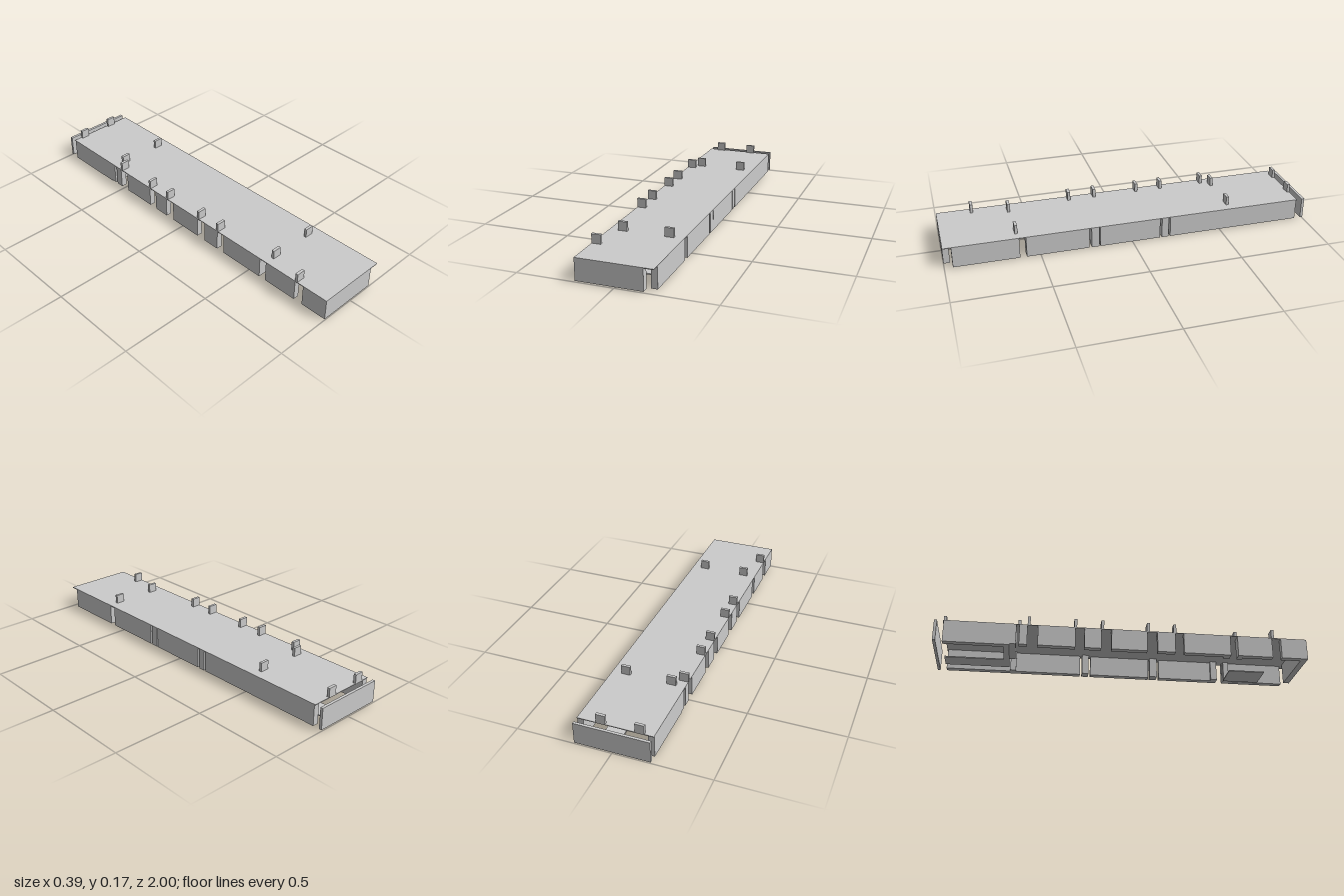
import * as THREE from 'three';

const material = new THREE.MeshStandardMaterial({ color: 0xcccccc, flatShading: true });

// Box given by its limits on each axis
function block(parent, name, [x0, x1], [y0, y1], [z0, z1]) {
  const mesh = new THREE.Mesh(new THREE.BoxGeometry(x1 - x0, y1 - y0, z1 - z0), material);
  mesh.position.set((x0 + x1) / 2, (y0 + y1) / 2, (z0 + z1) / 2);
  mesh.name = name;
  parent.add(mesh);
}

function section(parent, name) {
  const group = new THREE.Group();
  group.name = name;
  parent.add(group);
  return group;
}

export function createModel() {
  const model = new THREE.Group();
  model.name = 'longBuilding';

  const HALF = 0.195, INNER = 0.163, STUB = 0.145;
  const wallY = [0.006, 0.119];

  // Flat roof
  block(model, 'roof', [-HALF, HALF], [0.118, 0.122], [-0.955, 1]);

  // End walls; the back one stands clear of the roof
  block(model, 'frontWall', [-HALF, STUB], wallY, [0.966, 1]);
  block(model, 'backWall', [-HALF, HALF], [0.006, 0.122], [-1, -0.985]);

  // Left wall panels between doorways
  const left = section(model, 'leftWall');
  for (const z of [[0.61, 0.956], [0.24, 0.575], [-0.152, 0.18], [-0.59, -0.21], [-0.95, -0.6]])
    block(left, 'leftWallPanel', [INNER, HALF], wallY, z);

  // Right wall panels between doorways
  const right = section(model, 'rightWall');
  for (const z of [[0.856, 0.966], [0.615, 0.806], [0.32, 0.575], [0.177, 0.273], [-0.07, 0.122],
    [-0.214, -0.125], [-0.46, -0.262], [-0.557, -0.515], [-0.95, -0.585]])
    block(right, 'rightWallPanel', [-HALF, -INNER], wallY, z);

  // Short cross walls and piers reaching inward
  const piers = section(model, 'crossWalls');
  for (const z of [[0.186, 0.227], [-0.2, -0.163], [0.54, 0.575], [0.615, 0.645], [-0.6, -0.568]])
    block(piers, 'leftPier', [STUB, HALF], wallY, z);
  for (const z of [[0.54, 0.575], [0.615, 0.645]])
    block(piers, 'rightPier', [-HALF, -STUB], wallY, z);
  block(piers, 'rearRoomWall', [-HALF, 0], wallY, [-0.605, -0.573]);

  // Thin floor plates and sill strips
  const floorY = [0, 0.006];
  const floors = section(model, 'floorPlates');
  block(floors, 'frontFloorPlate', [0, STUB], floorY, [0.61, 0.81]);
  block(floors, 'rearFloorPlate', [0, 0.097], floorY, [-0.95, -0.605]);
  block(floors, 'rearSideSill', [-HALF, -INNER], floorY, [-0.95, -0.605]);
  block(floors, 'rearCrossSill', [-HALF, 0], floorY, [-0.635, -0.605]);

  // Upright tabs on the roof, as [x, z] centres
  const tabs = section(model, 'roofTabs');
  const centres = [[-0.124, -0.948], [0.073, -0.948]];
  for (const z of [-0.557, 0.617]) centres.push([-0.124, z], [0.121, z]);
  for (const z of [-0.508, -0.262, -0.118, 0.128, 0.272, 0.812]) centres.push([-0.171, z]);
  for (const [x, z] of centres)
    block(tabs, 'roofTab', [x - 0.024, x + 0.024], [0.12, 0.17], [z - 0.0075, z + 0.0075]);

  return model;
}
